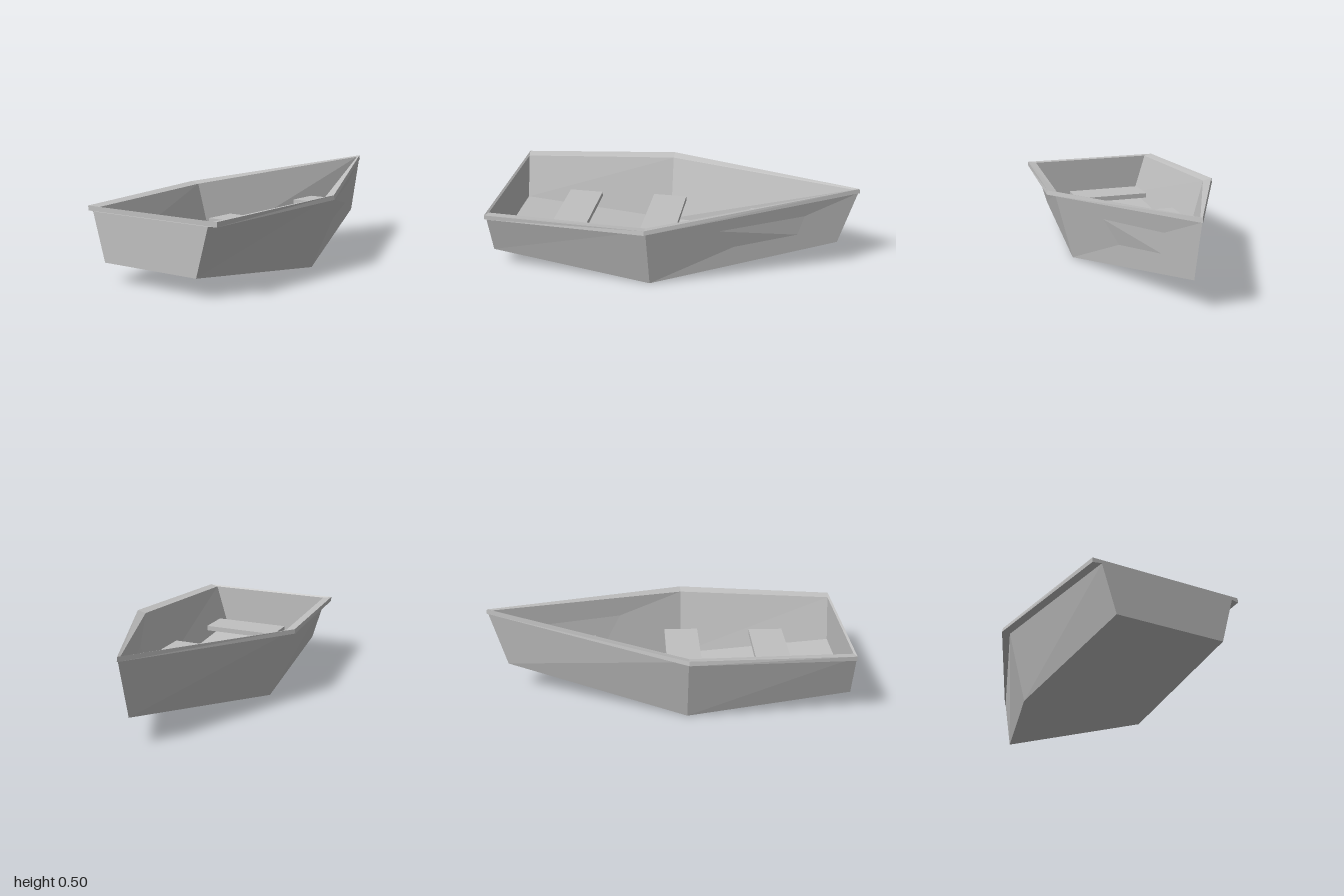
import * as THREE from 'three';

// Each ring is given by half-width, height and z at stern, midship and bow.
const keel = [[0.30, 0.10, 1], [0.355, 0, 0.1], [0, 0.155, -0.9]];
const sheer = [[0.375, 0.355, 1], [0.45, 0.38, 0.1], [0, 0.47, -0.99]];
const rimBottom = [[0.42, 0.355, 0.99], [0.497, 0.381, 0.1], [0, 0.47, -1]];
const rimTop = [[0.42, 0.38, 0.99], [0.492, 0.405, 0.1], [0, 0.495, -0.995]];
const rimInner = [[0.37, 0.372, 0.98], [0.44, 0.393, 0.1], [0, 0.488, -0.965]];
const floorEdge = [[0.295, 0.13, 0.98], [0.34, 0.03, 0.1], [0, 0.19, -0.88]];

// Mirror the three stations into a five-point loop around the boat.
function loop([stern, mid, bow]) {
  const flip = ([x, y, z]) => [-x, y, z];
  return [stern, mid, bow, flip(mid), flip(stern)];
}

function toGeometry(points) {
  const g = new THREE.BufferGeometry();
  g.setAttribute('position', new THREE.Float32BufferAttribute(points.flat(), 3));
  g.computeVertexNormals();
  return g;
}

// Join consecutive rings with flat faces.
function skin(...rings) {
  const tris = [];
  for (let r = 0; r < rings.length - 1; r++) {
    const a = loop(rings[r]), b = loop(rings[r + 1]);
    for (let i = 0; i < 5; i++) {
      const j = (i + 1) % 5;
      tris.push(a[i], a[j], b[j], a[i], b[j], b[i]);
    }
  }
  return toGeometry(tris);
}

// Close a ring with a stern panel and a bow triangle.
function panel(ring, faceDown) {
  const p = loop(ring);
  const tris = [p[0], p[1], p[3], p[0], p[3], p[4], p[1], p[2], p[3]];
  return toGeometry(faceDown ? tris.reverse() : tris);
}

export function createModel() {
  const boat = new THREE.Group();
  boat.name = 'rowboat';
  const grey = new THREE.MeshStandardMaterial({ color: 0xc0c0c0, flatShading: true, side: THREE.DoubleSide });
  grey.name = 'grey';

  const add = (name, geometry) => {
    const mesh = new THREE.Mesh(geometry, grey);
    mesh.name = name;
    boat.add(mesh);
    return mesh;
  };

  add('hullSides', skin(keel, sheer));
  add('hullBottom', panel(keel, true));
  add('gunwale', skin(sheer, rimBottom, rimTop, rimInner));
  add('innerWalls', skin(rimInner, floorEdge));
  add('floor', panel(floorEdge, false));

  // Benches: name, width, top height, centre z
  const benches = [
    ['sternBench', 0.44, 0.24, 0.59],
    ['middleBench', 0.57, 0.218, 0.095],
    ['bowBench', 0.22, 0.268, -0.5],
  ];
  for (const [name, width, top, z] of benches) {
    add(name, new THREE.BoxGeometry(width, 0.028, 0.195)).position.set(0, top - 0.014, z);
  }
  return boat;
}
